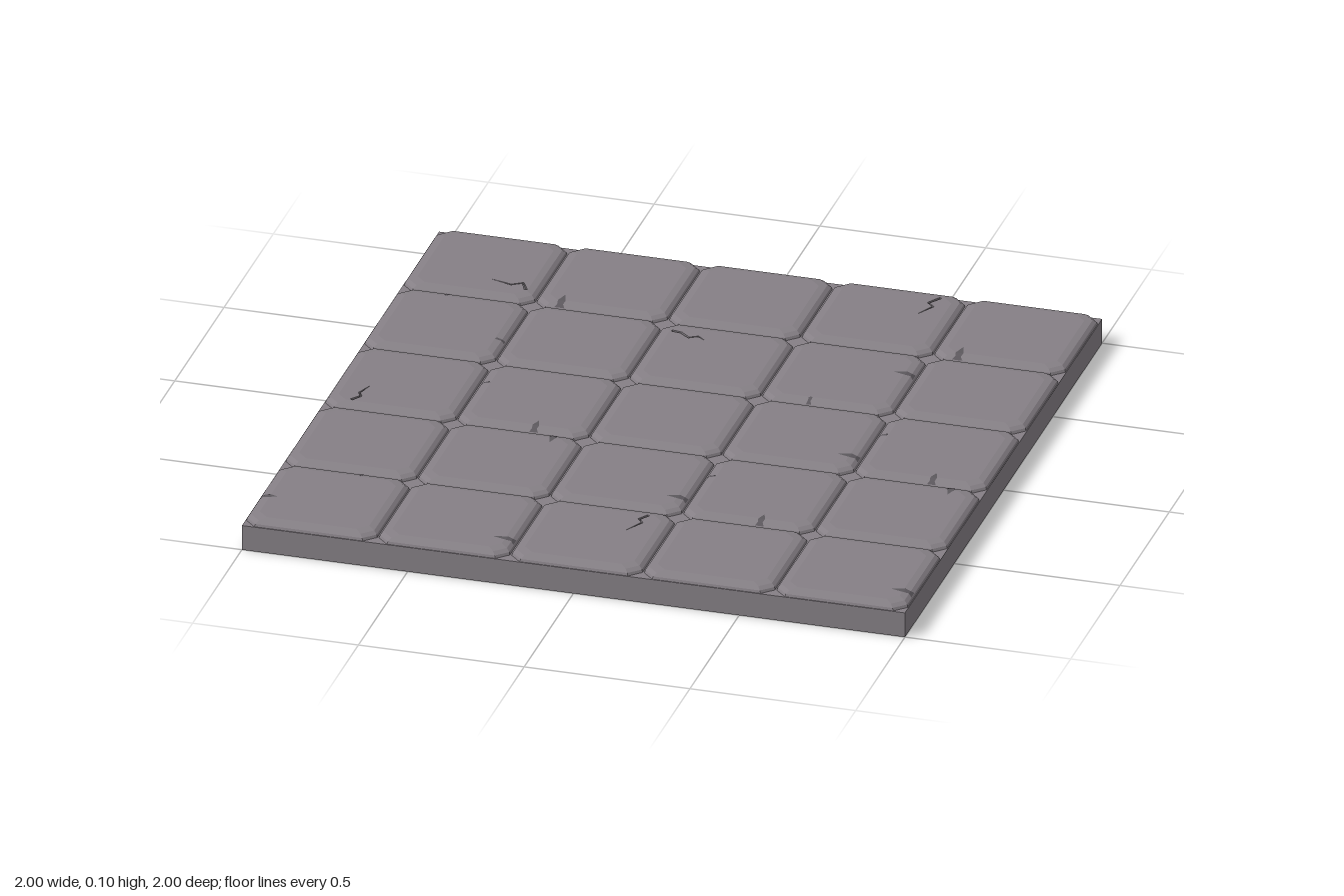
import * as THREE from 'three';

const PITCH = 0.4, BASE_TOP = 0.078, TOP = 0.098;
// bevel profile of a tile: [half width, height, corner cut]
const PROFILE = [[0.198, 0.076, 0.034], [0.195, 0.086, 0.034], [0.185, 0.094, 0.032], [0.165, TOP, 0.03]];

// octagon as [x, z], running +x towards -z (counter-clockwise from above)
function octagon(h, c) {
  const k = h - c;
  return [[h, k], [h, -k], [k, -h], [-k, -h], [-h, -k], [-h, k], [-k, h], [k, h]];
}

function toShape(points, Type = THREE.Shape) {
  return new Type(points.map(([x, z]) => new THREE.Vector2(x, -z)));
}

// sloping rim of a tile
function rimGeometry() {
  const rings = PROFILE.map(([h, y, c]) => octagon(h, c).map(([x, z]) => [x, y, z]));
  const pos = [];
  for (let r = 0; r < rings.length - 1; r++) {
    for (let i = 0; i < 8; i++) {
      const j = (i + 1) % 8;
      const [a, b, c, d] = [rings[r][i], rings[r][j], rings[r + 1][j], rings[r + 1][i]];
      pos.push(...a, ...b, ...c, ...a, ...c, ...d);
    }
  }
  const g = new THREE.BufferGeometry();
  g.setAttribute('position', new THREE.Float32BufferAttribute(pos, 3));
  g.computeVertexNormals();
  return g;
}

// tapering crack outline around a polyline that starts wide and ends in a point
function crackOutline(path) {
  const left = [], right = [];
  const n = path.length - 1;
  for (let i = 0; i < n; i++) {
    const a = path[Math.max(i - 1, 0)], b = path[i + 1];
    const dx = b[0] - a[0], dz = b[1] - a[1], len = Math.hypot(dx, dz);
    const w = 0.0045 * (1 - 0.6 * i / n);
    left.push([path[i][0] - dz / len * w, path[i][1] + dx / len * w]);
    right.unshift([path[i][0] + dz / len * w, path[i][1] - dx / len * w]);
  }
  return [...left, path[n], ...right];
}

// flat top of a tile, cut through by a crack if it has one
function capGeometry(outline) {
  const [h, , c] = PROFILE[3];
  const shape = toShape(octagon(h, c));
  if (outline) shape.holes.push(toShape(outline, THREE.Path));
  const g = new THREE.ExtrudeGeometry(shape, { depth: 0.008, bevelEnabled: false });
  return g.rotateX(-Math.PI / 2).translate(0, TOP - 0.008, 0);
}

// chip in a tile edge: a jagged wedge that follows the bevel, pointing along +x
function chipGeometry(length) {
  const w = length * 0.22;
  const rows = [[0.006, 0.087, w], [0.015, 0.095, w * 0.55], [0.03, TOP + 0.001, w * 0.75], [length, TOP + 0.001, 0]];
  const pos = [];
  for (let i = 0; i < 3; i++) {
    const [d, y, a] = rows[i], [e, v, b] = rows[i + 1];
    pos.push(d, y, a, e, v, b, d, y, -a, d, y, -a, e, v, b, e, v, -b);
  }
  const g = new THREE.BufferGeometry();
  g.setAttribute('position', new THREE.Float32BufferAttribute(pos, 3));
  g.computeVertexNormals();
  return g;
}

// cracks by tile "column,row", local to the tile centre
const CRACKS = {
  '0,0': [[0.16, 0.13], [0.14, 0.09], [0.11, 0.11], [0.04, 0.09]],
  '3,0': [[0.125, -0.16], [0.1, -0.12], [0.12, -0.1], [0.09, -0.04]],
  '2,1': [[-0.16, -0.135], [-0.13, -0.13], [-0.1, -0.105], [-0.075, -0.12], [0.15 - 0.2, -0.1]],
  '0,2': [[-0.12, 0.16], [-0.1, 0.13], [-0.11, 0.11], [-0.09, 0.05]],
  '2,4': [[0.12, -0.16], [0.1, -0.13], [0.115, -0.11], [0.085, -0.05]],
};

// chips: x, z at the tile edge, turn in quarter circles (0 = +x, 1 = -z, 2 = -x, 3 = +z), length
const CHIPS = [
  [-0.52, -0.6, 1, 0.07], [0.68, -0.6, 1, 0.07], [-0.85, -0.6, 3, 0.035], [-0.6, -0.34, 2, 0.035],
  [0.6, -0.46, 2, 0.07], [-0.6, -0.06, 0, 0.035], [0.6, -0.06, 0, 0.035], [0.6, 0.1, 2, 0.07],
  [-0.36, 0.2, 1, 0.06], [-0.29, 0.2, 3, 0.065], [0.84, 0.2, 1, 0.06], [0.91, 0.2, 3, 0.065],
  [0.2, 0.34, 0, 0.035], [0.2, 0.5, 2, 0.07], [0.44, 0.6, 1, 0.06], [-0.75, 0.6, 3, 0.035],
  [-1, 0.83, 0, 0.06], [-0.2, 0.9, 2, 0.07], [1, 0.9, 2, 0.07], [0.35, -0.2, 1, 0.035],
];

export function createModel() {
  const stone = new THREE.MeshStandardMaterial({ color: 0x857f85 });
  stone.name = 'stone';
  const darkStone = new THREE.MeshStandardMaterial({ color: 0x5c585d, side: THREE.DoubleSide });
  darkStone.name = 'dark stone';

  const model = new THREE.Group();
  model.name = 'stoneFloor';
  const add = (parent, name, geometry, material) => {
    const mesh = new THREE.Mesh(geometry, material);
    mesh.name = name;
    parent.add(mesh);
    return mesh;
  };

  // base slab
  add(model, 'baseSlab', new THREE.BoxGeometry(2, BASE_TOP, 2).translate(0, BASE_TOP / 2, 0), stone);

  // five by five bevelled tiles
  const rim = rimGeometry(), plainCap = capGeometry();
  for (let col = 0; col < 5; col++) {
    for (let row = 0; row < 5; row++) {
      const tile = new THREE.Group();
      tile.name = 'tile';
      tile.position.set((col - 2) * PITCH, 0, (row - 2) * PITCH);
      const path = CRACKS[`${col},${row}`];
      const outline = path && crackOutline(path);
      add(tile, 'tileRim', rim, stone);
      add(tile, 'tileTop', outline ? capGeometry(outline) : plainCap, stone);
      if (outline) {
        const floor = new THREE.ShapeGeometry(toShape(outline)).rotateX(-Math.PI / 2);
        add(tile, 'crackFloor', floor, darkStone).position.y = TOP - 0.007;
      }
      model.add(tile);
    }
  }

  // chipped edges
  for (const [x, z, turn, length] of CHIPS) {
    const chip = add(model, 'edgeChip', chipGeometry(length), darkStone);
    chip.position.set(x, 0, z);
    chip.rotation.y = turn * Math.PI / 2;
  }
  return model;
}
